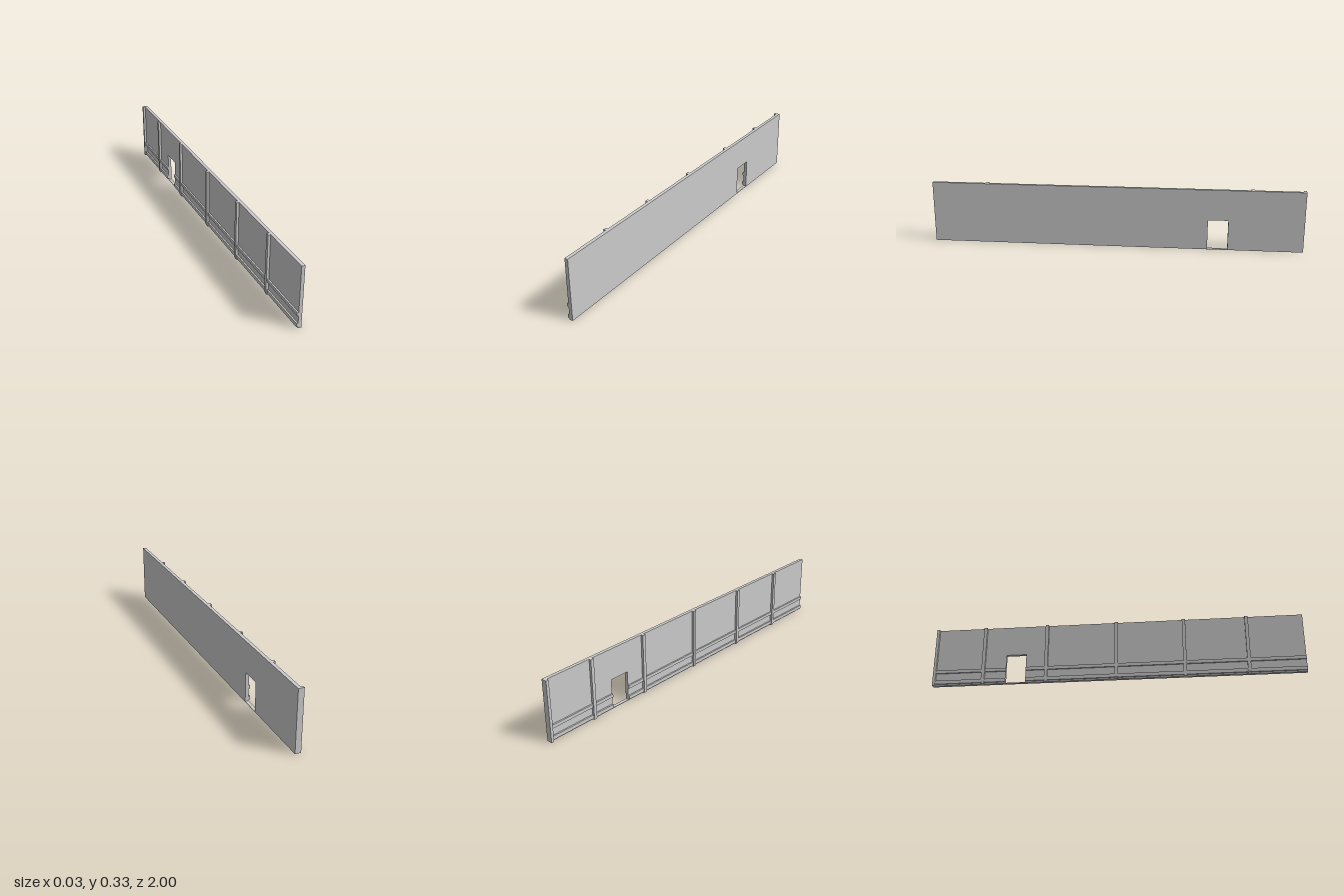
import * as THREE from 'three';

export function createModel() {
  const group = new THREE.Group();
  group.name = 'wallSection';
  const material = new THREE.MeshStandardMaterial({ color: 0xcccccc, flatShading: true });
  const FACE = -0.003, FRONT = 0.015, TOP = 0.332;
  const DOOR = { back: -0.6, front: -0.492, sill: 0.003, head: 0.165 };

  // Box given by its limits on each axis
  function block(name, x0, x1, y0, y1, z0, z1) {
    const mesh = new THREE.Mesh(new THREE.BoxGeometry(x1 - x0, y1 - y0, z1 - z0), material);
    mesh.position.set((x0 + x1) / 2, (y0 + y1) / 2, (z0 + z1) / 2);
    mesh.name = name;
    group.add(mesh);
  }

  // Wall panel with a doorway above a thin sill
  const outline = new THREE.Shape([[-1, 0], [1, 0], [1, TOP], [-1, TOP]]
    .map(([z, y]) => new THREE.Vector2(-z, y)).reverse());
  outline.holes.push(new THREE.Path([
    [DOOR.back, DOOR.sill], [DOOR.front, DOOR.sill], [DOOR.front, DOOR.head], [DOOR.back, DOOR.head],
  ].map(([z, y]) => new THREE.Vector2(-z, y))));
  const panel = new THREE.ExtrudeGeometry(outline, { depth: FRONT - FACE, bevelEnabled: false });
  panel.rotateY(Math.PI / 2);
  panel.translate(FACE, 0, 0);
  const wall = new THREE.Mesh(panel, material);
  wall.name = 'wallPanel';
  group.add(wall);

  // Horizontal rails, interrupted by the doorway
  for (const [name, y0, y1] of [['lowerRail', 0.008, 0.028], ['upperRail', 0.07, 0.088]]) {
    block(name, -0.011, FACE, y0, y1, -1, DOOR.back);
    block(name, -0.011, FACE, y0, y1, DOOR.front, 1);
  }

  // Upright posts, each on a shallower foot
  for (const z of [-0.724, -0.38, 0, 0.366, 0.702]) {
    block('post', -0.016, FACE, 0.008, TOP, z - 0.009, z + 0.009);
    block('postFoot', -0.012, FACE, 0, 0.008, z - 0.009, z + 0.009);
  }

  // Corner post at the back end
  block('endPost', -0.016, FACE, 0, TOP, -1, -0.985);

  return group;
}
